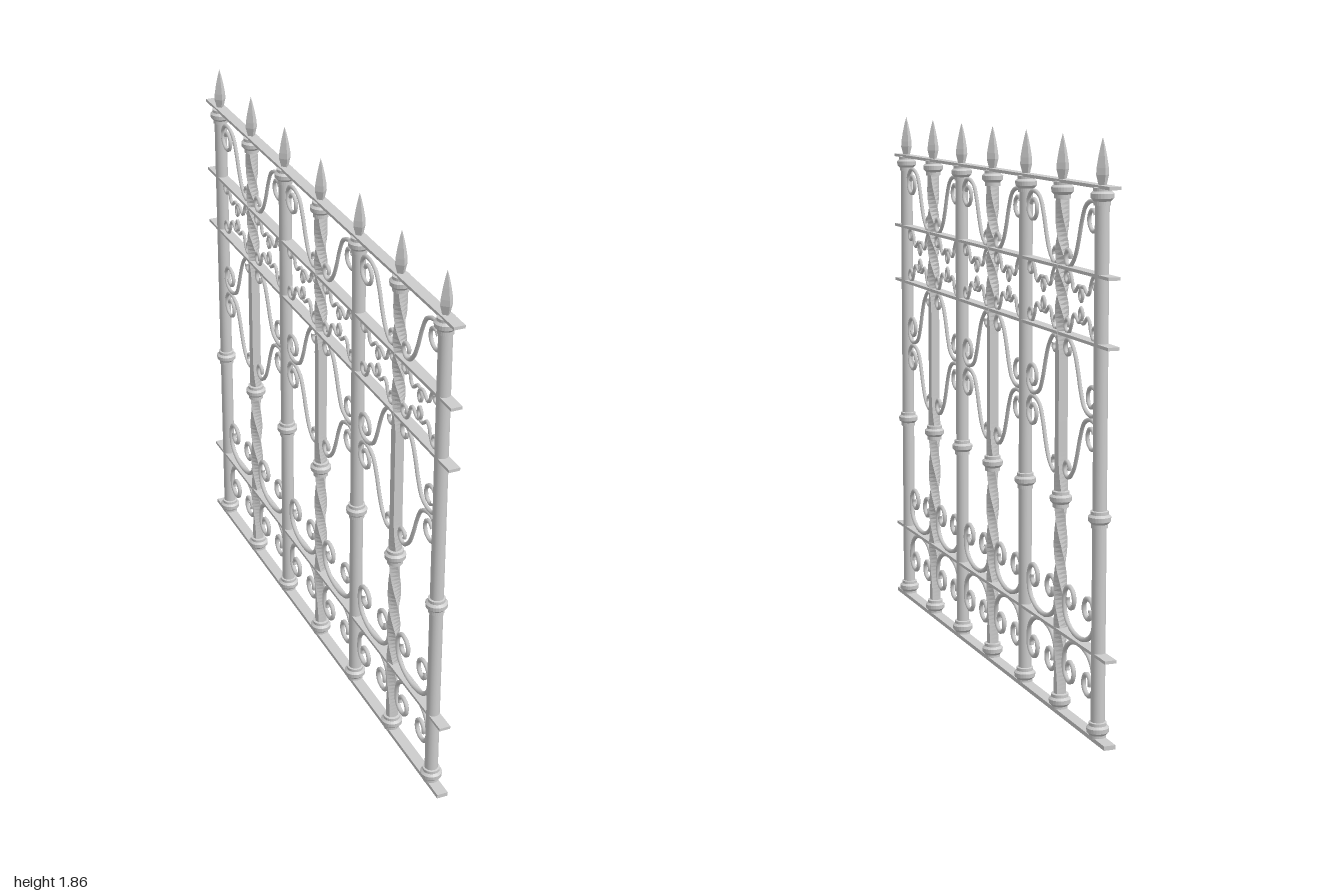
import * as THREE from 'three';

const SPACING = 0.3035;
const postZ = k => k * SPACING + 0.003;

export function createModel() {
  const group = new THREE.Group();
  group.name = 'fencePanel';
  const iron = new THREE.MeshStandardMaterial({ color: 0xcccccc });
  iron.name = 'wroughtIron';

  const add = (name, geometry, x, y, z) => {
    const mesh = new THREE.Mesh(geometry, iron);
    mesh.name = name;
    mesh.position.set(x, y, z);
    group.add(mesh);
  };
  // Separate the faces so that every edge stays sharp
  const faceted = geometry => {
    const flat = geometry.toNonIndexed();
    flat.computeVertexNormals();
    return flat;
  };
  const lathe = (pts, sides) =>
    faceted(new THREE.LatheGeometry(pts.map(([r, y]) => new THREE.Vector2(r, y)), sides));

  // Horizontal flat rails
  for (const y of [0.007, 0.278, 1.237, 1.445, 1.71])
    add('rail', new THREE.BoxGeometry(0.038, y < 0.1 ? 0.014 : 0.01, 2), 0, y, 0);

  // Shared post parts
  const roundBar = new THREE.CylinderGeometry(0.022, 0.022, 1.7, 16);
  const twistedBox = new THREE.BoxGeometry(0.031, 1.7, 0.031, 1, 120, 1);
  const pos = twistedBox.attributes.position;
  for (let i = 0; i < pos.count; i++) {
    const y = pos.getY(i) + 0.85;
    const a = Math.PI * 2 * (THREE.MathUtils.smoothstep(y, 0.05, 0.85)
      + THREE.MathUtils.smoothstep(y, 1.15, 1.68));
    const x = pos.getX(i), z = pos.getZ(i);
    pos.setX(i, x * Math.cos(a) - z * Math.sin(a));
    pos.setZ(i, x * Math.sin(a) + z * Math.cos(a));
  }
  const twistedBar = faceted(twistedBox);
  const collar = lathe([[0.02, -0.028], [0.026, -0.028], [0.026, -0.016], [0.035, -0.007],
    [0.036, 0.007], [0.028, 0.014], [0.028, 0.024], [0.02, 0.026]], 24);
  const finial = lathe([[0.012, 0], [0.014, 0.008], [0.021, 0.035], [0.02, 0.055],
    [0.014, 0.09], [0.006, 0.125], [0, 0.145]], 4);

  // Posts: round and twisted alternate
  for (let k = -3; k <= 3; k++) {
    const z = postZ(k);
    if (k % 2) add('roundPost', roundBar, 0, 0.857, z);
    else add('twistedPost', twistedBar, 0, 0.857, z);
    for (const y of [0.038, 0.705, 1.683]) add('collar', collar, 0, y, z);
    add('finial', finial, 0, 1.71, z);
  }

  // Spiral from angle a0 to a1 (degrees) with radius r0 to r1
  const spiral = (cx, cy, r0, r1, a0, a1) => {
    const n = Math.ceil(Math.abs(a1 - a0) / 40);
    return Array.from({ length: n + 1 }, (_, i) => {
      const t = i / n, r = r0 + (r1 - r0) * t, a = (a0 + (a1 - a0) * t) * Math.PI / 180;
      return [cx + r * Math.cos(a), cy + r * Math.sin(a)];
    });
  };
  const mirrorBay = pts => pts.map(([u, y]) => [SPACING - u, y]).reverse();

  // S scroll: u runs from the round post, y drops from the top of the big curl
  const sScroll = [
    ...spiral(0.064, -0.054, 0.054, 0.02, 70, 510).reverse(),
    [0.123, -0.021], [0.15, -0.066], [0.176, -0.133], [0.2, -0.18],
    ...spiral(0.251, -0.186, 0.031, 0.014, 235, 560),
  ];

  // Garland with a small hanging loop, y from the middle of its band
  const halfGarland = [
    ...spiral(0.047, 0.074, 0.025, 0.012, 60, 390).reverse(),
    [0.08, 0.067], [0.087, 0.046], [0.102, 0.035], [0.118, 0.046], [0.133, 0.056], [0.152, 0.051],
  ];
  const garland = [
    ...halfGarland,
    [0.164, 0.029], [0.152, 0.01], [0.14, 0.029],
    ...mirrorBay(halfGarland),
  ];

  // C scroll, y from its back
  const halfC = [
    ...spiral(0.08, 0.106, 0.046, 0.018, 180, -200).reverse(),
    [0.042, 0.05], [0.078, 0.017],
  ];
  const cScroll = [...halfC, [SPACING / 2, 0], ...mirrorBay(halfC)];

  const scroll = (name, pts, k, d, y0, flip, radius) => {
    const curve = new THREE.CatmullRomCurve3(pts.map(([u, y]) =>
      new THREE.Vector3(0, y0 + flip * y, postZ(k) + d * u)));
    add(name, new THREE.TubeGeometry(curve, 100, radius, 6), 0, 0, 0);
  };

  // Fill each bay, mirrored about the round posts
  for (const k of [3, 1, -1, -3]) for (const d of [-1, 1]) {
    if (Math.abs(k + d) > 3) continue;
    scroll('upperScroll', sScroll, k, d, 1.665, 1, 0.007);
    for (const flip of [-1, 1]) {
      scroll('middleScroll', sScroll, k, d, 1.003 - flip * 0.004, flip, 0.007);
      scroll('garland', garland, k, d, 1.341, flip, 0.006);
      scroll('lowerScroll', cScroll, k, d, 0.278 + flip * 0.01, flip, 0.008);
    }
  }
  return group;
}
